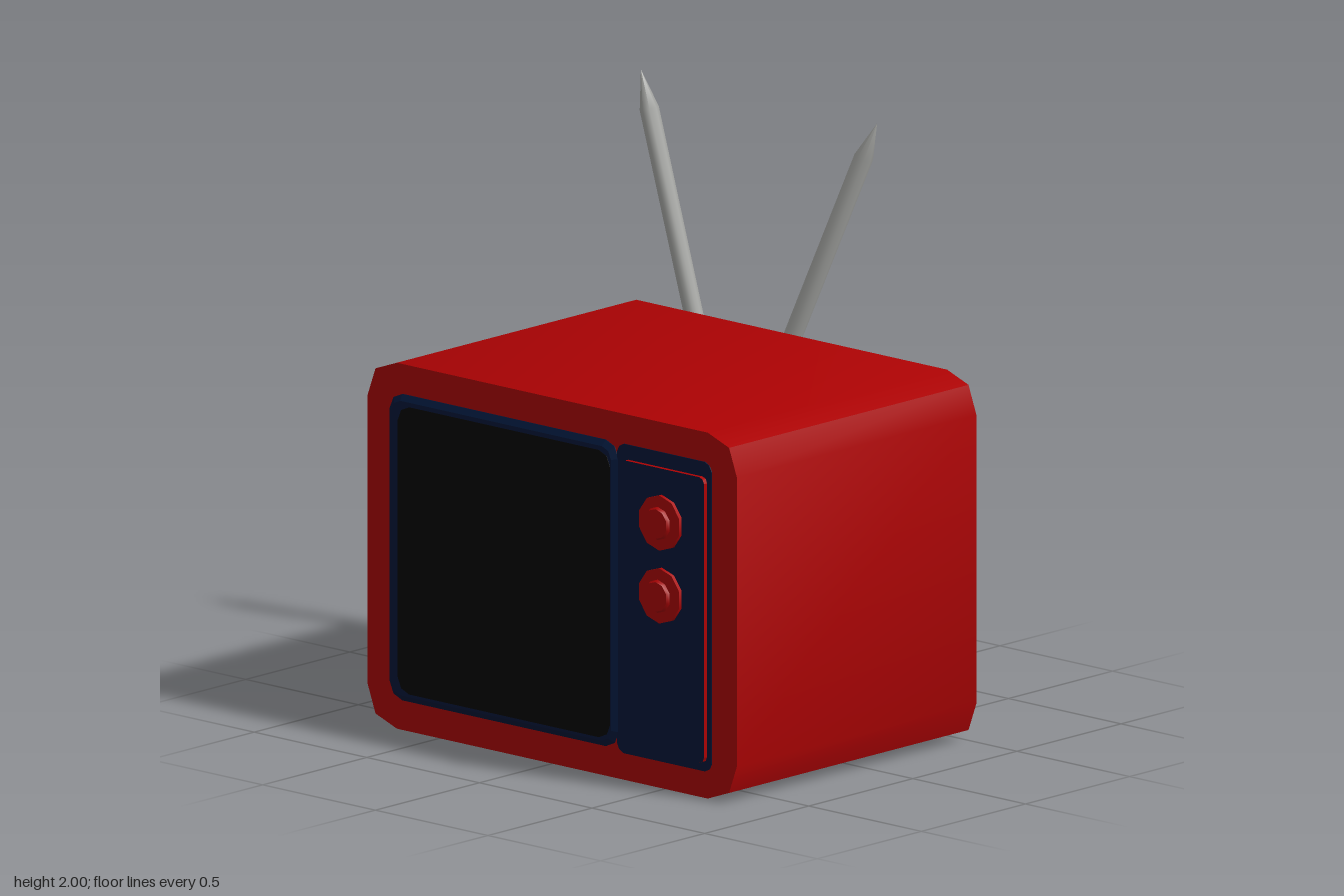
import * as THREE from 'three';
import { toCreasedNormals } from 'three/addons/utils/BufferGeometryUtils.js';

const mat = (name, color) => {
  const m = new THREE.MeshStandardMaterial({ color });
  m.name = name;
  return m;
};

// Rectangle with two-step clipped corners; a = outer cut, b = inner cut
function clippedRect(x0, x1, y0, y1, a, b) {
  const cx = (x0 + x1) / 2, cy = (y0 + y1) / 2, w = (x1 - x0) / 2, h = (y1 - y0) / 2;
  const corner = [[w, h - a], [w - b, h - b], [w - a, h]];
  const pts = [];
  for (const [sx, sy] of [[1, 1], [-1, 1], [-1, -1], [1, -1]]) {
    const c = sx * sy > 0 ? corner : [...corner].reverse();
    for (const [x, y] of c) pts.push(new THREE.Vector2(cx + sx * x, cy + sy * y));
  }
  return new THREE.Shape(pts);
}

export function createModel() {
  const model = new THREE.Group();
  model.name = 'television';
  const red = mat('red', 0xab0203);
  const navy = mat('navy', 0x021638);
  const black = mat('screenBlack', 0x020202);
  const grey = mat('antennaGrey', 0xa8a9a6);

  function add(parent, name, geometry, material, x = 0, y = 0, z = 0) {
    const mesh = new THREE.Mesh(geometry, material);
    mesh.name = name;
    mesh.position.set(x, y, z);
    parent.add(mesh);
    return mesh;
  }
  const extrude = (shape, depth, bevel = {}) =>
    new THREE.ExtrudeGeometry(shape, { depth, bevelEnabled: false, ...bevel });

  // Everything on this group is drawn flat, then turned so it faces -x
  const body = new THREE.Group();
  body.name = 'body';
  body.rotation.y = -Math.PI / 2;
  body.position.x = -0.65;
  model.add(body);

  // Cabinet
  const cabinet = extrude(clippedRect(-0.82, 0.82, 0, 1.23, 0.13, 0.035), 1.15);
  add(body, 'cabinet', toCreasedNormals(cabinet, 0.6), red, 0, 0, -1.15);

  // Screen surround with sloped rim, and the screen itself
  const bezel = extrude(clippedRect(-0.7, 0.275, 0.12, 1.11, 0.04, 0.012), 0.002, {
    bevelEnabled: true, bevelSize: 0.02, bevelThickness: 0.014, bevelSegments: 1,
  });
  add(body, 'screenBezel', bezel, navy);
  add(body, 'screen', extrude(clippedRect(-0.67, 0.272, 0.13, 1.095, 0.05, 0.015), 0.002), black, 0, 0, 0.0155);

  // Control panel: backing plate, raised block with red sides and navy face
  add(body, 'panelBacking', extrude(clippedRect(0.29, 0.71, 0.09, 1.13, 0.03, 0.01), 0.003), navy);
  add(body, 'controlPanel', extrude(clippedRect(0.32, 0.69, 0.12, 1.08, 0.02, 0.006), 0.018), [navy, red]);

  // Knobs: wide dial, narrow collar and cap
  for (const y of [0.9, 0.655]) {
    const knob = new THREE.Group();
    knob.name = 'knob';
    knob.position.set(0.503, y, 0.018);
    body.add(knob);
    const disc = (name, r0, r1, z0, z1) => {
      const g = new THREE.CylinderGeometry(r1, r0, z1 - z0, 10).rotateX(Math.PI / 2);
      add(knob, name, toCreasedNormals(g, 0.7), red, 0, 0, (z0 + z1) / 2);
    };
    disc('dial', 0.093, 0.093, 0, 0.013);
    disc('collar', 0.045, 0.04, 0.013, 0.02);
    disc('cap', 0.056, 0.05, 0.02, 0.031);
  }

  // Antenna rods with pointed tips
  const base = new THREE.Vector3(0.547, 0.645, -0.31);
  const tips = { rearAntenna: [0.522, 2.0, -0.69], frontAntenna: [0.678, 1.945, 0.215] };
  for (const [name, tip] of Object.entries(tips)) {
    const dir = new THREE.Vector3(...tip).sub(base);
    const len = dir.length();
    const profile = [[0, 0], [0.031, 0], [0.032, len - 0.13], [0, len]];
    const rod = new THREE.LatheGeometry(profile.map(p => new THREE.Vector2(...p)), 8);
    const mesh = add(model, name, toCreasedNormals(rod, 0.9), grey, base.x, base.y, base.z);
    mesh.quaternion.setFromUnitVectors(new THREE.Vector3(0, 1, 0), dir.normalize());
  }
  return model;
}
